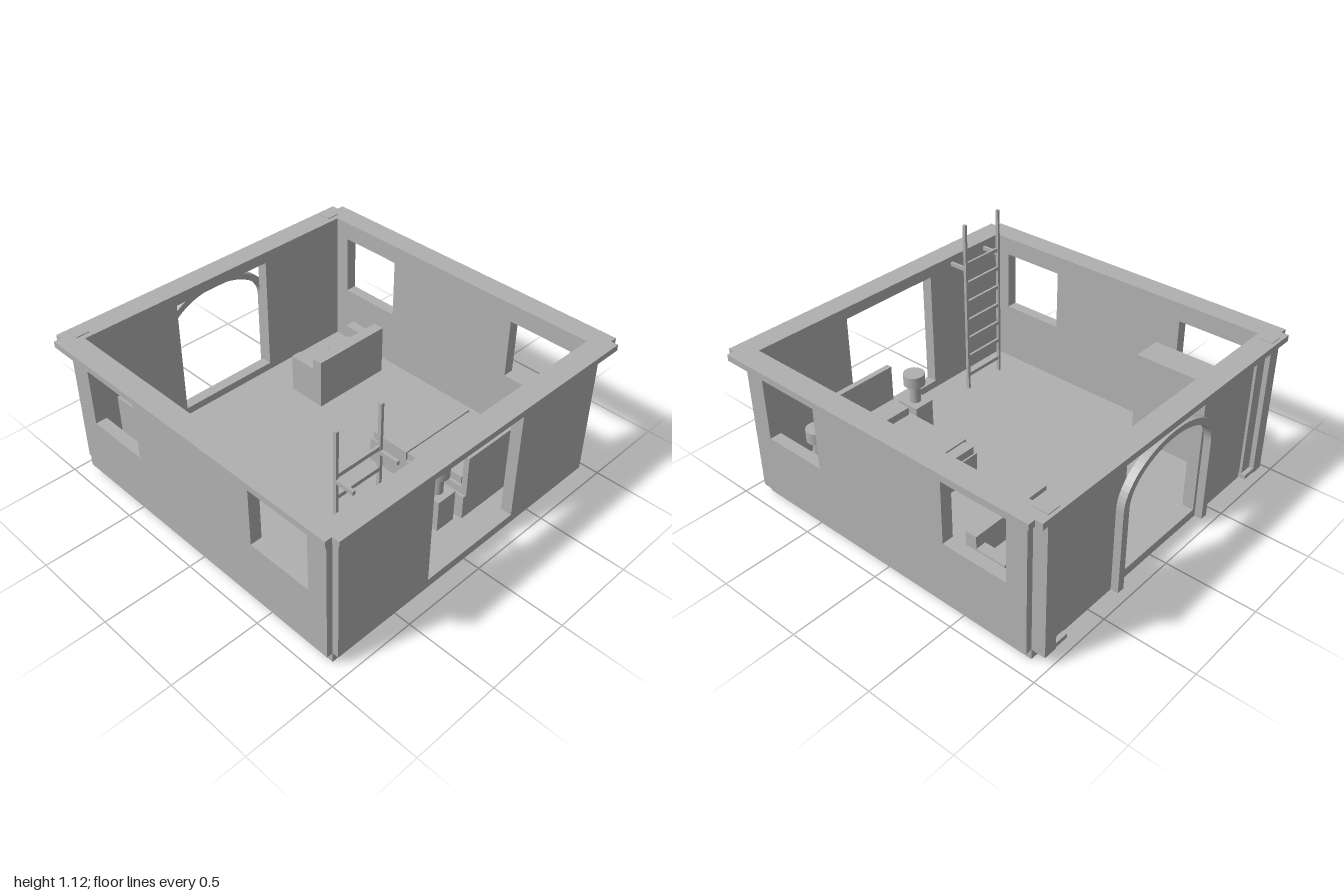
import * as THREE from 'three';

export function createModel() {
  const model = new THREE.Group();
  const grey = new THREE.MeshStandardMaterial({ color: 0xb0b0b0 });
  grey.name = 'plain grey';

  const add = (name, geometry, parent = model) => {
    const mesh = new THREE.Mesh(geometry, grey);
    mesh.name = name;
    parent.add(mesh);
    return mesh;
  };
  // Box given by its limits on each axis
  const box = (name, x0, x1, y0, y1, z0, z1, parent) => {
    const g = new THREE.BoxGeometry(x1 - x0, y1 - y0, z1 - z0);
    g.translate((x0 + x1) / 2, (y0 + y1) / 2, (z0 + z1) / 2);
    return add(name, g, parent);
  };
  const group = (name) => {
    const g = new THREE.Group();
    g.name = name;
    model.add(g);
    return g;
  };
  const rect = (P, x0, x1, y0, y1) => {
    const p = new P();
    p.moveTo(x0, y0);
    p.lineTo(x1, y0);
    p.lineTo(x1, y1);
    p.lineTo(x0, y1);
    p.closePath();
    return p;
  };
  const extrude = (shape, depth) =>
    new THREE.ExtrudeGeometry(shape, { depth, bevelEnabled: false, curveSegments: 16 });

  // Foundation and floor
  const F = 0.065;
  box('foundation', -0.905, 0.905, 0, 0.06, -0.905, 0.905);
  box('floor', -0.88, 0.88, 0.055, F, -0.88, 0.88);

  // Walls with openings
  const wall = (name, holes) => {
    const s = rect(THREE.Shape, -0.905, 0.905, 0.06, 0.832);
    for (const h of holes) s.holes.push(rect(THREE.Path, ...h));
    return add(name, extrude(s, 0.065));
  };
  const door = [[-0.312, 0.312, 0.11, 0.8]];
  const windows = [[-0.79, -0.415, 0.41, 0.76], [0.415, 0.79, 0.41, 0.76]];
  wall('frontWall', door).position.z = 0.875;
  wall('backWall', door).position.z = -0.94;
  for (const [name, x] of [['leftWall', 0.875], ['rightWall', -0.94]]) {
    const w = wall(name, windows);
    w.rotation.y = Math.PI / 2;
    w.position.x = x;
  }

  // Notched coping on top of the walls
  const coping = new THREE.Shape();
  const a = 1, b = 0.96;
  [[b, -a], [b, -b], [a, -b], [a, b], [b, b], [b, a], [-b, a], [-b, b], [-a, b], [-a, -b], [-b, -b], [-b, -a]]
    .forEach(([x, y], i) => (i ? coping.lineTo(x, y) : coping.moveTo(x, y)));
  coping.holes.push(rect(THREE.Path, -0.875, 0.875, -0.875, 0.875));
  const cope = add('coping', extrude(coping, 0.035));
  cope.rotation.x = -Math.PI / 2;
  cope.position.y = 0.83;

  // Back corner columns with a thin panel and a ledge beside them
  for (const s of [-1, 1]) {
    const span = (p, q) => (s > 0 ? [p, q] : [-q, -p]);
    box('cornerColumn', ...span(0.83, 0.905), 0.06, 0.87, -0.982, -0.905);
    box('sidePanel', ...span(0.755, 0.83), 0.07, 0.79, -0.955, -0.94);
    box('panelLedge', ...span(0.75, 0.83), 0.065, 0.09, -0.98, -0.94);
  }

  // Arched trim round the back doorway
  const arch = new THREE.Shape();
  arch.moveTo(0.375, 0.06);
  arch.lineTo(0.375, 0.54);
  arch.absellipse(0, 0.54, 0.375, 0.25, 0, Math.PI, false, 0);
  arch.lineTo(-0.375, 0.06);
  arch.lineTo(-0.332, 0.06);
  arch.lineTo(-0.332, 0.54);
  arch.absellipse(0, 0.54, 0.332, 0.215, Math.PI, 0, true, 0);
  arch.lineTo(0.332, 0.06);
  add('archTrim', extrude(arch, 0.042)).position.z = -0.982;

  // Ladder against the front wall
  const ladder = group('ladder');
  for (const x of [-0.708, -0.44]) {
    box('ladderPost', x - 0.008, x + 0.008, F, 1.12, 0.715, 0.733, ladder);
    box('ladderArm', x - 0.008, x + 0.008, 0.84, 0.862, 0.733, 0.832, ladder);
  }
  for (let i = 0; i < 7; i++) {
    const y = 0.877 - i * 0.12;
    box('ladderRung', -0.7, -0.448, y - 0.011, y + 0.011, 0.717, 0.731, ladder);
  }

  // Wardrobe
  box('wardrobe', -0.855, -0.68, F, 0.595, -0.685, -0.295);

  // Sofa facing the back doorway
  const sofa = group('sofa');
  box('sofaBase', 0.28, 0.775, F, 0.2, -0.635, -0.4, sofa);
  box('sofaBack', 0.278, 0.777, F, 0.37, -0.465, -0.4, sofa);
  for (const x of [0.278, 0.717]) box('sofaArm', x, x + 0.06, F, 0.3, -0.637, -0.465, sofa);
  for (const x of [0.34, 0.545]) box('sofaCushion', x, x + 0.17, 0.2, 0.235, -0.62, -0.475, sofa);

  // Bed
  const bed = group('bed');
  box('bedFrame', 0.152, 0.653, F, 0.21, 0.11, 0.755, bed);
  box('mattress', 0.165, 0.642, 0.21, 0.255, 0.12, 0.745, bed);
  box('blanket', 0.152, 0.653, 0.21, 0.265, 0.185, 0.365, bed);
  box('headboard', 0.145, 0.66, 0.235, 0.48, 0.742, 0.775, bed);
  for (const x of [0.18, 0.42]) box('pillow', x, x + 0.203, 0.255, 0.3, 0.585, 0.71, bed);

  // Nightstands with lamps
  for (const x of [0.057, 0.745]) {
    const stand = group('nightstand');
    box('nightstandBody', x - 0.062, x + 0.062, F, 0.255, 0.59, 0.727, stand);
    const cyl = (name, r, y0, y1) => {
      const g = new THREE.CylinderGeometry(r, r, y1 - y0, 24);
      g.translate(x, (y0 + y1) / 2, 0.66);
      add(name, g, stand);
    };
    cyl('lampStem', 0.032, 0.255, 0.37);
    cyl('lampShade', 0.06, 0.365, 0.432);
  }
  return model;
}
